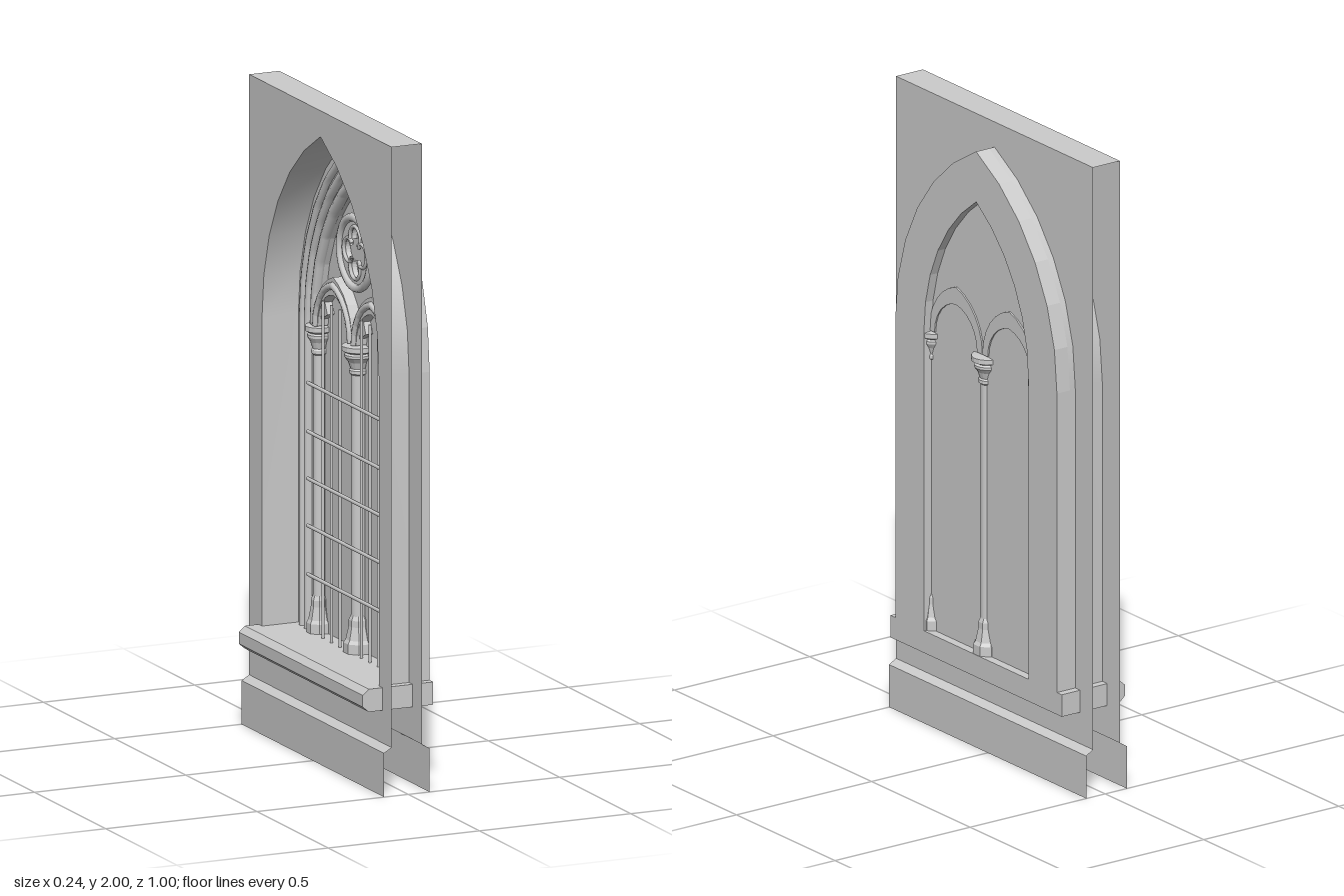
import * as THREE from 'three';

const stone = new THREE.MeshStandardMaterial({ color: 0xcccccc, side: THREE.DoubleSide });
const SPRING = 1.27, SILL = 0.32, COL_X = 0.07;

// Two-centred pointed arch, from the right springing over the apex to the left
function archPoints(w, top, cz = 0, n = 6) {
  const d = top - SPRING, R = (w * w + d * d) / (2 * w), end = Math.asin(d / R);
  const half = [];
  for (let i = 0; i <= n; i++) {
    const a = (end * i) / n;
    half.push([w - R + R * Math.cos(a), SPRING + R * Math.sin(a)]);
  }
  const all = half.concat(half.slice(0, -1).reverse().map(([z, y]) => [-z, y]));
  return all.map(([z, y]) => new THREE.Vector2(z + cz, y));
}

// Whole opening outline: arch head plus straight jambs
function opening(w, top, base = SILL) {
  return [new THREE.Vector2(w, base), ...archPoints(w, top), new THREE.Vector2(-w, base)];
}

// Quatrefoil outline: union of four circles in polar form
function foilPoints(cy, offset, r) {
  const pts = [];
  for (let i = 0; i < 64; i++) {
    const a = (i / 64) * Math.PI * 2;
    const b = (((a + Math.PI / 4) % (Math.PI / 2)) + Math.PI / 2) % (Math.PI / 2) - Math.PI / 4;
    const s = offset * Math.sin(b);
    const d = offset * Math.cos(b) + Math.sqrt(Math.max(0, r * r - s * s));
    pts.push(new THREE.Vector2(d * Math.cos(a), cy + d * Math.sin(a)));
  }
  return pts;
}

function withHole(shape, hole) {
  if (hole) shape.holes.push(new THREE.Path(hole));
  return shape;
}

export function createModel() {
  const model = new THREE.Group();
  const add = (geo, name, x = 0, y = 0, z = 0) => {
    const m = new THREE.Mesh(geo, stone);
    m.name = name;
    m.position.set(x, y, z);
    model.add(m);
    return m;
  };
  // Shapes drawn in the wall plane, placed or extruded along x
  const sheet = (shape, x, name) => add(new THREE.ShapeGeometry(shape).rotateY(Math.PI / 2), name, x);
  const slab = (shape, x0, x1, name) => add(
    new THREE.ExtrudeGeometry(shape, { depth: x1 - x0, bevelEnabled: false }).rotateY(Math.PI / 2), name, x0);

  // Hollow wall: two faces with a pointed opening, plinth strips and a top
  const wallOutline = () => new THREE.Shape([[-0.5, 0.15], [0.5, 0.15], [0.5, 2], [-0.5, 2]]
    .map(p => new THREE.Vector2(...p)));
  for (const [x, s, name] of [[0.045, 1, 'outer'], [-0.055, -1, 'inner']]) {
    sheet(withHole(wallOutline(), opening(0.41, 1.92)), x, name + 'WallFace');
    const foot = x + s * 0.025;
    add(new THREE.PlaneGeometry(1, 0.135).rotateY(s * Math.PI / 2), name + 'Plinth', foot, 0.0675, 0);
    const slope = new THREE.PlaneGeometry(1, Math.hypot(0.025, 0.015));
    slope.rotateX(-Math.atan2(0.025, 0.015)).rotateY(s * Math.PI / 2);
    add(slope, name + 'PlinthSlope', x + s * 0.0125, 0.1425, 0);
  }
  add(new THREE.PlaneGeometry(0.1, 1).rotateX(-Math.PI / 2), 'wallTop', -0.005, 2, 0);

  // Smooth reveal lining the niche
  const outline = opening(0.41, 1.92);
  const pos = [], idx = [];
  outline.forEach((p, i) => {
    pos.push(-0.055, p.y, p.x, 0.065, p.y, p.x);
    if (i) idx.push(2 * i - 2, 2 * i, 2 * i - 1, 2 * i - 1, 2 * i, 2 * i + 1);
  });
  const reveal = new THREE.BufferGeometry();
  reveal.setAttribute('position', new THREE.Float32BufferAttribute(pos, 3));
  reveal.setIndex(idx);
  reveal.computeVertexNormals();
  add(reveal, 'reveal');

  // Projecting arched frame and the pane closing it
  slab(withHole(new THREE.Shape(opening(0.41, 1.92)), opening(0.265, 1.76)), 0.065, 0.113, 'archFrame');
  sheet(new THREE.Shape(opening(0.268, 1.763)), 0.085, 'pane');

  // Sill with a chamfered nose, running through the wall
  const sill = new THREE.Shape([[0.113, 0.25], [0.113, 0.32], [-0.1, 0.32], [-0.12, 0.303], [-0.12, 0.267], [-0.1, 0.25]]
    .map(p => new THREE.Vector2(...p)));
  add(new THREE.ExtrudeGeometry(sill, { depth: 0.87, bevelEnabled: false }), 'sill', 0, 0, -0.435);

  // Roll mouldings around the inside of the frame
  const roll = (pts, x, r, name) => {
    const path = new THREE.CurvePath();
    const v = pts.map(p => new THREE.Vector3(x, p.y, p.x));
    for (let i = 1; i < v.length; i++) path.add(new THREE.LineCurve3(v[i - 1], v[i]));
    add(new THREE.TubeGeometry(path, 90, r, 8), name);
  };
  roll(opening(0.375, 1.88), 0.065, 0.014, 'outerRoll');
  roll(opening(0.33, 1.83), 0.062, 0.016, 'middleRoll');
  roll(archPoints(0.28, 1.775), 0.06, 0.018, 'innerRoll');

  // Columns: octagonal base, round shaft, moulded capital
  const lathe = (pts, n) => new THREE.LatheGeometry(pts.map(p => new THREE.Vector2(...p)), n);
  const base = lathe([[0.045, 0.32], [0.045, 0.35], [0.038, 0.36], [0.029, 0.40], [0.029, 0.42], [0.022, 0.435]], 8)
    .rotateY(Math.PI / 8).toNonIndexed();
  base.computeVertexNormals();
  const shaft = lathe([[0.022, 0.42], [0.022, 1.19]], 16);
  const capital = lathe([[0.022, 1.175], [0.028, 1.18], [0.028, 1.19], [0.024, 1.195], [0.031, 1.215], [0.042, 1.23],
    [0.042, 1.238], [0.036, 1.243], [0.05, 1.25], [0.05, 1.265], [0, 1.27]], 16).toNonIndexed();
  capital.computeVertexNormals();
  for (const [z, k, name] of [[0, 1, 'centre'], [0.275, 0.85, 'left'], [-0.275, 0.85, 'right']]) {
    for (const [geo, part] of [[base, 'Base'], [shaft, 'Shaft'], [capital, 'Capital']]) {
      add(geo, name + 'Column' + part, COL_X, 0, z).scale.set(k, 1, k);
    }
  }

  // Twin light heads: arch bands with a roll and inward cusps
  for (const s of [-1, 1]) {
    const c = s * 0.135;
    const band = archPoints(0.135, 1.445, c).concat(archPoints(0.108, 1.39, c).reverse());
    slab(new THREE.Shape(band), 0.05, 0.09, 'lightArch');
    roll(archPoints(0.122, 1.42, c), 0.05, 0.011, 'lightArchRoll');
    for (const t of [-1, 1]) {
      const cusp = new THREE.Shape([[0.108, 1.29], [0.06, 1.315], [0.085, 1.365]]
        .map(([z, y]) => new THREE.Vector2(c + t * z, y)));
      slab(cusp, 0.06, 0.083, 'cusp');
    }
  }

  // Round quatrefoil above the lights
  const EYE = 1.55;
  const disc = new THREE.Shape().absarc(0, EYE, 0.105, 0, Math.PI * 2);
  slab(withHole(disc, foilPoints(EYE, 0.045, 0.036)), 0.06, 0.083, 'quatrefoilPlate');
  add(new THREE.TorusGeometry(0.108, 0.013, 8, 32).rotateY(Math.PI / 2), 'eyeRing', 0.06, EYE, 0);
  for (let i = 0; i < 4; i++) {
    const a = (i * Math.PI) / 2;
    add(new THREE.TorusGeometry(0.036, 0.006, 6, 20, Math.PI * 1.5).rotateZ(a - Math.PI * 0.75).rotateY(-Math.PI / 2),
      'foilRing', 0.06, EYE + 0.045 * Math.sin(a), 0.045 * Math.cos(a));
  }

  // Iron grille on the inner side
  for (const y of [0.5, 0.65, 0.795, 0.94, 1.09]) {
    add(new THREE.CylinderGeometry(0.006, 0.006, 0.56, 8).rotateX(Math.PI / 2), 'crossBar', 0.035, y, 0);
  }
  for (const s of [-1, 1]) for (const z of [0.075, 0.135, 0.195]) {
    add(new THREE.CylinderGeometry(0.005, 0.005, 1.04, 8), 'uprightBar', 0.045, SILL + 0.52, s * z);
  }
  return model;
}
